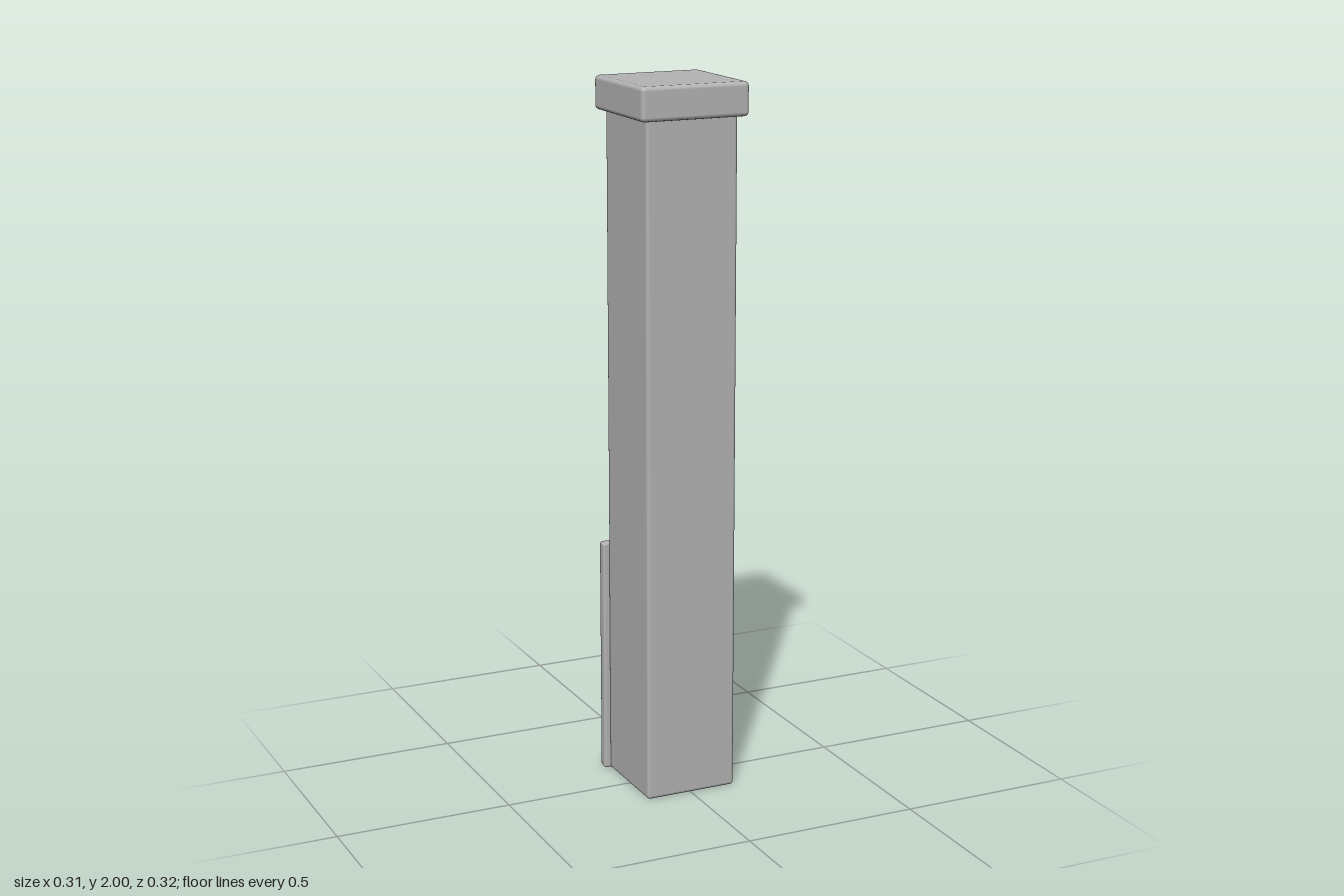
import * as THREE from 'three';
import { RoundedBoxGeometry } from 'three/addons/geometries/RoundedBoxGeometry.js';

export function createModel() {
  const group = new THREE.Group();
  group.name = 'squarePost';
  const stone = new THREE.MeshStandardMaterial({ color: 0xb3b3b3 });
  stone.name = 'plain grey';

  // Softly bevelled block given by its size, bottom height and z centre
  function block(name, w, h, d, bottom, z, bevel) {
    const mesh = new THREE.Mesh(new RoundedBoxGeometry(w, h, d, 2, bevel), stone);
    mesh.name = name;
    mesh.position.set(0, bottom + h / 2, z);
    group.add(mesh);
  }

  // Tall square shaft
  block('shaft', 0.268, 1.92, 0.268, 0, 0.001, 0.01);
  // Overhanging cap
  block('cap', 0.314, 0.093, 0.314, 1.907, 0.001, 0.012);
  // Flat plate against the lower back
  block('backPlate', 0.302, 0.682, 0.03, 0, -0.143, 0.007);

  return group;
}
